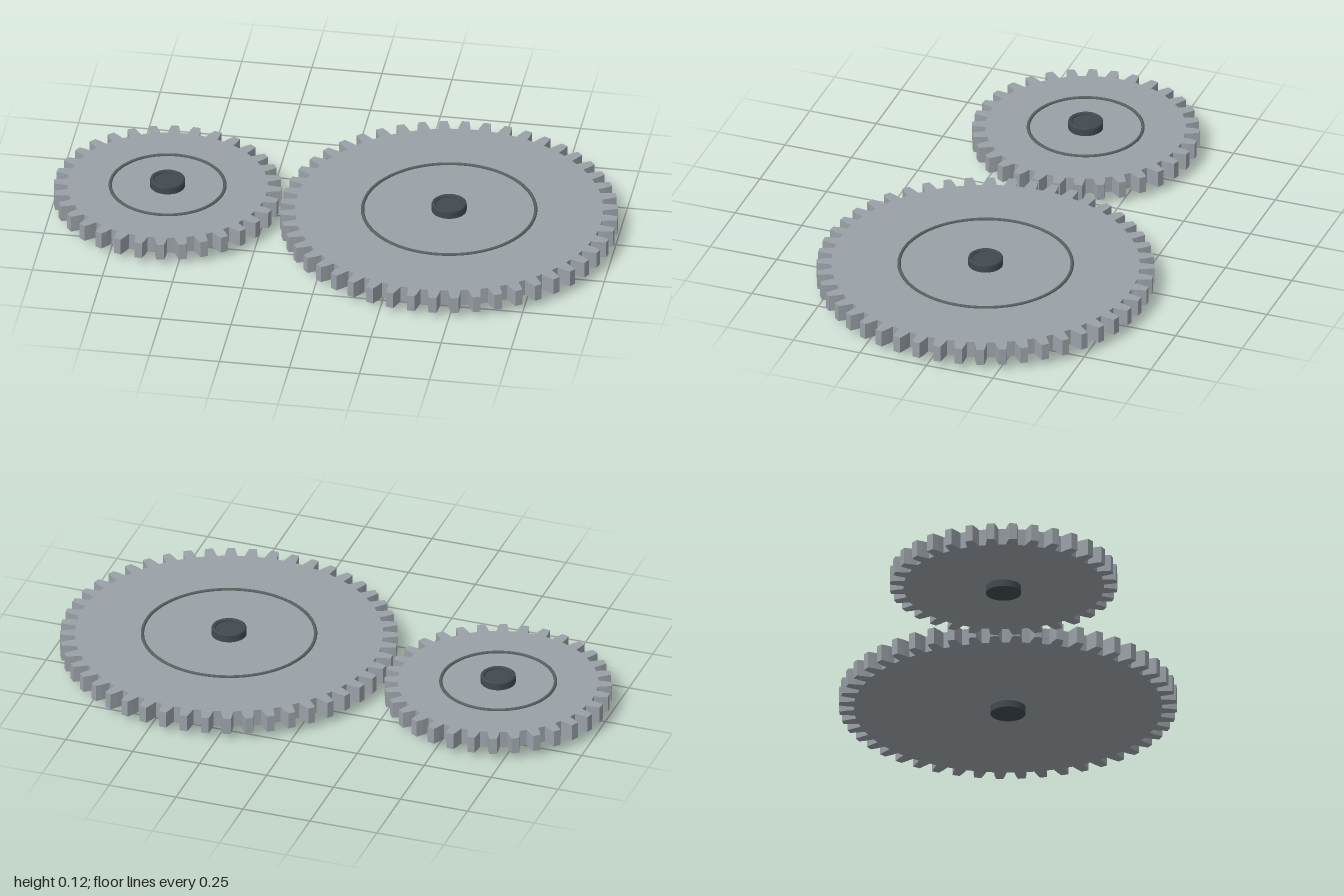
import * as THREE from 'three';

const gearMetal = new THREE.MeshStandardMaterial({ name: 'gear grey', color: 0x9aa1a7 });
const shaftMetal = new THREE.MeshStandardMaterial({ name: 'dark shaft grey', color: 0x414a51 });
const ringMetal = new THREE.MeshStandardMaterial({ name: 'ring grey', color: 0x56605f });

const BOTTOM = 0.025, TOP = 0.086;

// Toothed outline: straight-flanked teeth with a slight shoulder, a gap centred on each axis
function gearShape(teeth, tipR, rootR) {
  const pitch = (Math.PI * 2) / teeth;
  const midR = (tipR + rootR) / 2;
  const profile = [[-0.31, rootR], [-0.25, midR], [-0.17, tipR], [0.17, tipR], [0.25, midR], [0.31, rootR]];
  const points = [];
  for (let i = 0; i < teeth; i++) {
    for (const [offset, r] of profile) {
      const a = (i + 0.5 + offset) * pitch;
      points.push(new THREE.Vector2(r * Math.cos(a), r * Math.sin(a)));
    }
  }
  return new THREE.Shape(points);
}

function addMesh(group, name, geometry, material, y = 0) {
  const mesh = new THREE.Mesh(geometry, material);
  mesh.name = name;
  mesh.position.y = y;
  group.add(mesh);
}

function flatRing(radius, tube, segments) {
  return new THREE.TorusGeometry(radius, tube, 10, segments).rotateX(-Math.PI / 2);
}

function makeGear(name, teeth, tipR, rootR, ringR) {
  const gear = new THREE.Group();
  gear.name = name;

  // Toothed wheel
  const wheel = new THREE.ExtrudeGeometry(gearShape(teeth, tipR, rootR), {
    depth: TOP - BOTTOM, bevelEnabled: false,
  }).rotateX(-Math.PI / 2);
  addMesh(gear, 'toothedWheel', wheel, gearMetal, BOTTOM);

  // Thin raised ring on the upper face
  addMesh(gear, 'faceRing', flatRing(ringR, 0.006, 96), ringMetal, TOP + 0.001);

  // Shaft through the wheel, with a rounded lip at the top
  addMesh(gear, 'shaft', new THREE.CylinderGeometry(0.062, 0.062, 0.108, 40), shaftMetal, 0.054);
  addMesh(gear, 'shaftLip', flatRing(0.0545, 0.0075, 40), shaftMetal, 0.109);
  return gear;
}

export function createModel() {
  const model = new THREE.Group();
  model.name = 'gearPair';
  const small = makeGear('smallGear', 32, 0.401, 0.353, 0.202);
  small.position.x = -0.6;
  const large = makeGear('largeGear', 48, 0.5955, 0.543, 0.305);
  large.position.x = 0.405;
  model.add(small, large);
  return model;
}
